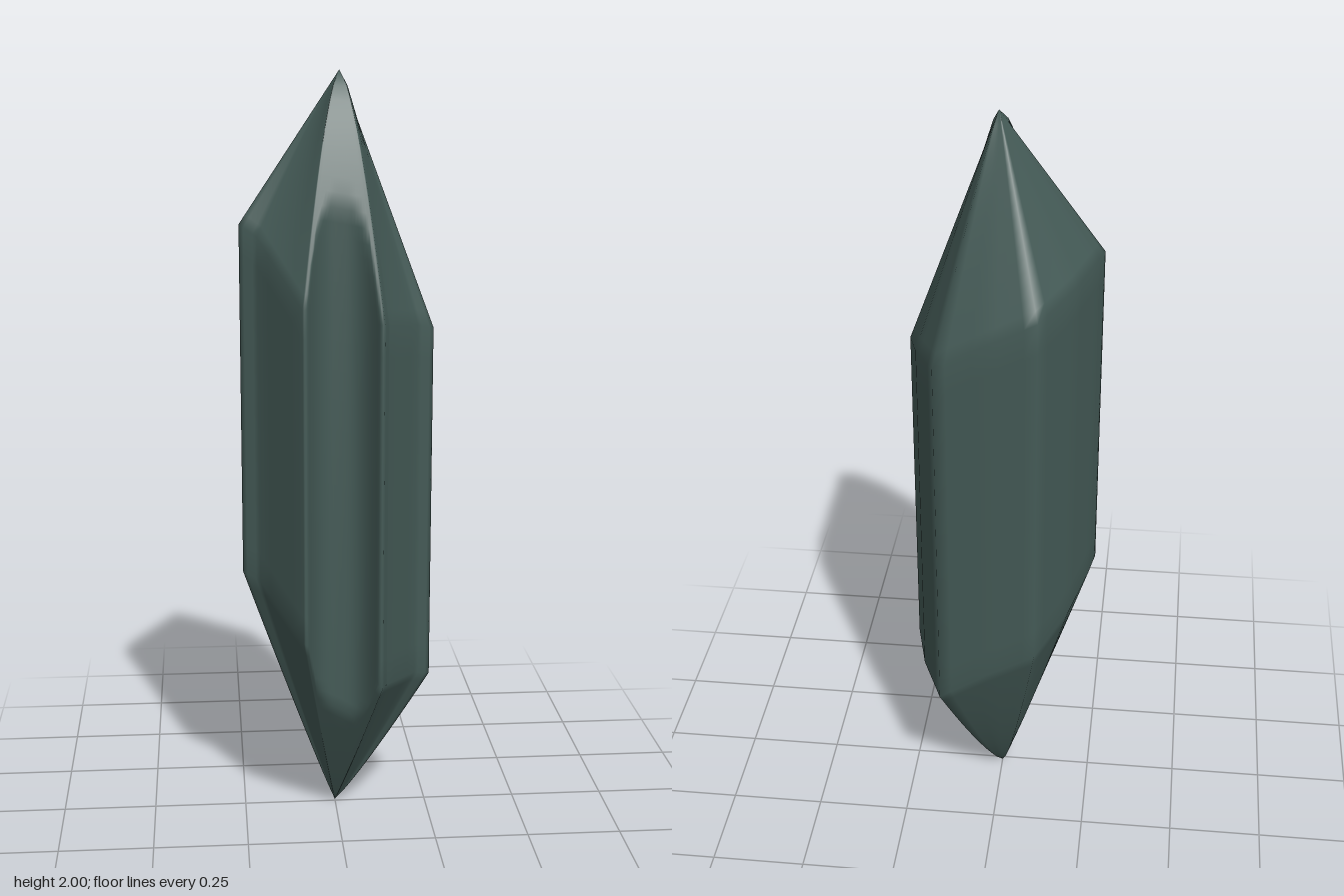
import * as THREE from 'three';
import { mergeVertices } from 'three/addons/utils/BufferGeometryUtils.js';

// Outline seen from above: x, z, height where the lower tip begins,
// height where the upper tip begins, lower bulge, upper bulge.
const OUTLINE = [
  [-0.11, -0.255, 0.58, 1.57, 0.8, 0.95],
  [0.02, -0.247, 0.5, 1.5, 0.8, 0.95],
  [0.15, -0.228, 0.4, 1.42, 0.85, 0.9],
  [0.213, -0.08, 0.4, 1.39, 0.9, 0.95],
  [0.25, 0.068, 0.4, 1.35, 0.9, 1],
  [0.207, 0.088, 0.41, 1.36, 0.9, 0.9],
  [0.12, 0.22, 0.43, 1.38, 0.95, 0.65],
  [0.105, 0.253, 0.43, 1.39, 0.95, 0.65],
  [0.088, 0.253, 0.45, 1.39, 0.95, 0.65],
  [-0.083, 0.253, 0.55, 1.43, 0.95, 0.65],
  [-0.1, 0.253, 0.56, 1.43, 0.95, 0.65],
  [-0.205, 0.09, 0.68, 1.59, 0.95, 0.9],
  [-0.25, 0.065, 0.7, 1.62, 0.95, 1],
  [-0.235, 0.01, 0.68, 1.62, 0.95, 1],
  [-0.19, -0.11, 0.63, 1.6, 0.9, 1],
];
const TOP = { x: 0.01, y: 2, z: 0.005 };
const BOTTOM = { x: 0, y: 0, z: -0.01 };
const TIP_ROWS = 16, BODY_ROWS = 12;

// Subdivide the outline, more finely across the grooved front.
function makeColumns() {
  const columns = [];
  OUTLINE.forEach((a, i) => {
    const b = OUTLINE[(i + 1) % OUTLINE.length];
    const n = i === 8 ? 16 : 4;
    for (let k = 0; k < n; k++) columns.push(a.map((v, m) => v + (b[m] - v) * k / n));
  });
  return columns;
}

// Rounded channel running up the front.
const channel = (x) => 0.172 + 0.083 * Math.pow(Math.abs(x - 0.003) / 0.092, 3);

function crystalPoint([x, z, low, high, bulgeLow, bulgeHigh], row) {
  let p;
  const tip = (apex, y, u, bulge) => {
    const s = Math.pow(1 - u, bulge);
    return [apex.x + (x - apex.x) * s, y + (apex.y - y) * u, apex.z + (z - apex.z) * s];
  };
  if (row < TIP_ROWS) p = tip(BOTTOM, low, 1 - row / TIP_ROWS, bulgeLow);
  else if (row <= TIP_ROWS + BODY_ROWS) p = [x, low + (high - low) * (row - TIP_ROWS) / BODY_ROWS, z];
  else p = tip(TOP, high, (row - TIP_ROWS - BODY_ROWS) / TIP_ROWS, bulgeHigh);
  if (p[2] > 0.17) p[2] = Math.min(p[2], channel(p[0]));
  return p;
}

function crystalGeometry() {
  const columns = makeColumns(), n = columns.length;
  const rows = TIP_ROWS * 2 + BODY_ROWS;
  const positions = [], index = [];
  for (let r = 0; r <= rows; r++) {
    for (const column of columns) positions.push(...crystalPoint(column, r));
  }
  for (let r = 0; r < rows; r++) {
    for (let j = 0; j < n; j++) {
      const a = r * n + j, b = r * n + (j + 1) % n;
      if (r > 0) index.push(b, a, a + n);
      if (r < rows - 1) index.push(b, a + n, b + n);
      else continue;
    }
  }
  const geometry = new THREE.BufferGeometry();
  geometry.setAttribute('position', new THREE.Float32BufferAttribute(positions, 3));
  geometry.setIndex(index);
  const merged = mergeVertices(geometry, 1e-5);
  merged.computeVertexNormals();
  return merged;
}

export function createModel() {
  const group = new THREE.Group();
  group.name = 'crystal';
  const stone = new THREE.MeshStandardMaterial({ color: 0x445a56 });
  stone.name = 'dark green stone';

  // Double-pointed crystal with a grooved front
  const shard = new THREE.Mesh(crystalGeometry(), stone);
  shard.name = 'crystalShard';
  group.add(shard);
  return group;
}
